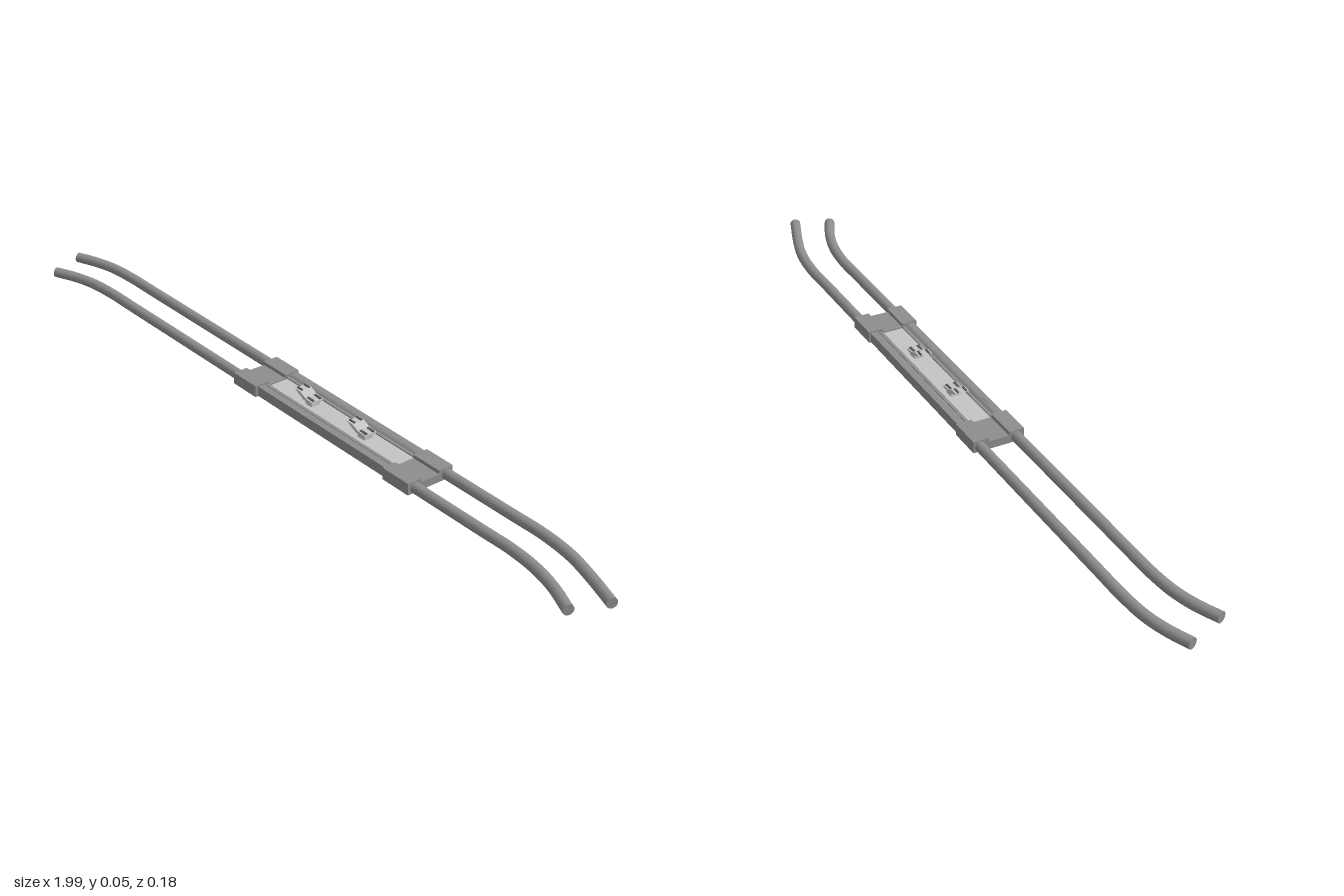
import * as THREE from 'three';

const steel = new THREE.MeshStandardMaterial({ color: 0x8b8e8c });
steel.name = 'grey steel';
const light = new THREE.MeshStandardMaterial({ color: 0xc2c4c4 });
light.name = 'light grey';
const dark = new THREE.MeshStandardMaterial({ color: 0x555856 });
dark.name = 'dark grey';

const R = 0.013;           // rail radius
const FRONT = 0.018, REAR = -0.073; // rail centre lines
const X0 = -0.2, X1 = 0.43; // carriage ends
const MID = (X0 + X1) / 2;

export function createModel() {
  const model = new THREE.Group();
  model.name = 'railCarriage';

  const add = (name, geometry, material, parent = model) => {
    const mesh = new THREE.Mesh(geometry, material);
    mesh.name = name;
    parent.add(mesh);
    return mesh;
  };
  // Box given by its minimum and maximum corners
  const box = (name, x0, x1, y0, y1, z0, z1, material, parent) => {
    const mesh = add(name, new THREE.BoxGeometry(x1 - x0, y1 - y0, z1 - z0), material, parent);
    mesh.position.set((x0 + x1) / 2, (y0 + y1) / 2, (z0 + z1) / 2);
    return mesh;
  };

  // Bent round rails with closed ends
  const rail = (name, points) => {
    const curve = new THREE.CatmullRomCurve3(points.map(([x, z]) => new THREE.Vector3(x, R, z)));
    add(name, new THREE.TubeGeometry(curve, 120, R, 16), steel);
    for (const t of [0, 1]) {
      const cap = add(name + 'End', new THREE.CircleGeometry(R, 16), steel);
      cap.position.copy(curve.getPointAt(t));
      const out = curve.getTangentAt(t).multiplyScalar(t ? 1 : -1);
      cap.quaternion.setFromUnitVectors(new THREE.Vector3(0, 0, 1), out);
    }
  };
  rail('frontRail', [
    [-0.952, 0.063], [-0.9, 0.041], [-0.84, 0.025], [-0.76, FRONT], [-0.66, FRONT], [0, FRONT],
    [0.64, FRONT], [0.73, FRONT], [0.81, 0.027], [0.88, 0.046], [0.953, 0.077],
  ]);
  rail('rearRail', [
    [-0.993, -0.031], [-0.94, -0.052], [-0.88, -0.067], [-0.8, REAR], [-0.7, REAR], [0, REAR],
    [0.64, REAR], [0.73, REAR], [0.82, -0.062], [0.9, -0.039], [0.99, -0.007],
  ]);

  // Carriage: floor, side walls and inner ledges
  box('basePlate', X0, X1, 0, 0.006, REAR, FRONT, steel);
  for (const [z, s] of [[FRONT, 1], [REAR, -1]]) {
    const wall = box('sideWall', -0.115, 0.345, 0.001, 0.026, -0.0065, 0.0065, steel);
    wall.position.z = z + s * 0.006;
    const ledge = box('innerLedge', -0.115, 0.345, 0.004, 0.022, -0.004, 0.004, steel);
    ledge.position.z = z - s * 0.015;
  }
  box('lightPanel', -0.112, 0.342, 0.005, 0.019, -0.056, 0.001, light);

  // Clamp blocks around the rails, joined by cross pieces
  for (const [a, b] of [[X0, -0.115], [0.345, X1]]) {
    box('frontClamp', a, b, 0, 0.029, 0, 0.038, steel);
    box('rearClamp', a, b, 0, 0.029, -0.09, -0.051, steel);
    box('crossPiece', a, b, 0.001, 0.02, -0.053, 0.002, steel);
  }

  // Slanted latches standing on the panel
  const latchProfile = new THREE.Shape();
  [[0.035, 0.03], [0.005, 0.03], [-0.028, 0.046], [-0.008, 0.046], [0.012, 0.037], [0.035, 0.035]]
    .reverse().forEach(([x, y], i) => (i ? latchProfile.lineTo(x, y) : latchProfile.moveTo(x, y)));
  for (const x of [0, 0.19]) {
    const latch = new THREE.Group();
    latch.name = 'latch';
    latch.position.x = x;
    model.add(latch);
    const body = add('latchBody', new THREE.ExtrudeGeometry(latchProfile,
      { depth: 0.034, bevelEnabled: false }), light, latch);
    body.position.z = -0.0445;
    box('latchFoot', 0.006, 0.03, 0.019, 0.031, -0.04, -0.015, light, latch);
    for (const z of [-0.038, -0.0175]) {
      box('latchPin', -0.026, -0.008, 0.044, 0.049, z - 0.002, z + 0.002, dark, latch);
      box('latchSlot', 0.012, 0.034, 0.034, 0.038, z - 0.003, z + 0.003, dark, latch);
    }
  }

  // Small screw heads under the carriage
  for (const dx of [-0.2, 0.2]) {
    const screw = add('screw', new THREE.CylinderGeometry(0.004, 0.004, 0.002, 10), dark);
    screw.position.set(MID + dx, 0.0009, (FRONT + REAR) / 2);
  }
  return model;
}
